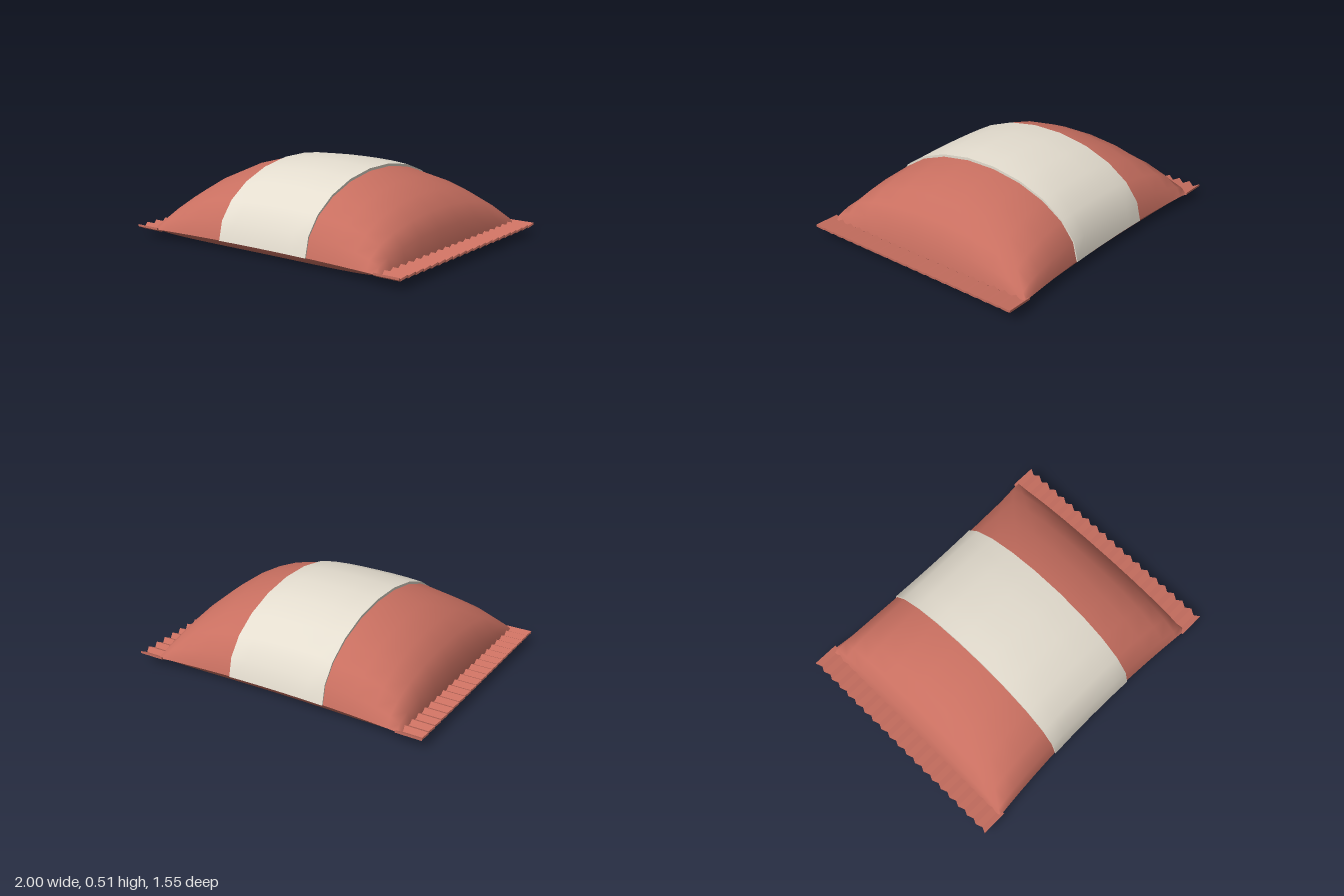
import * as THREE from 'three';

const SEAM = 0.06;      // height of the seam around the bag
const HALF_X = 0.86;    // half length of the filled body
const RISE = 0.435;     // dome height above the seam
const BAND_X = 0.333;   // half width of the label band
const BAND_LIFT = 0.015;

// Fullness of the cushion along x, from 1 in the middle to 0 at the seal
const fullness = (x) => Math.pow(Math.max(0, 1 - Math.pow(Math.abs(x / HALF_X), 2.5)), 0.45);
// Half depth, pinched in at the middle
const halfDepth = (x) => 0.725 + 0.045 * (x / HALF_X) ** 2;

// Point on the upper skin at length x and angle a (-90 to 90 degrees) across z
function skin(x, a, lift = 0) {
  return [
    x,
    SEAM + RISE * fullness(x) * Math.cos(a) + lift * Math.cos(a),
    (halfDepth(x) + lift * 0.5) * Math.sin(a),
  ];
}

// Grid sheet whose corners (s, t in -0.5..0.5) are placed by a rule
function sheet(nx, nz, faceUp, rule) {
  const geo = new THREE.PlaneGeometry(1, 1, nx, nz).rotateX(faceUp ? -Math.PI / 2 : Math.PI / 2);
  const p = geo.attributes.position;
  for (let i = 0; i < p.count; i++) p.setXYZ(i, ...rule(p.getX(i), p.getZ(i)));
  geo.computeVertexNormals();
  return geo;
}

// Corrugated strip along z with a pinked outer edge
function crimpGeometry() {
  const steps = 40, length = 1.555, thick = 0.014;
  const top = [], bottom = [];
  for (let i = 0; i <= steps; i++) {
    const z = (i / steps - 0.5) * length;
    const y = i % 2 ? 0.055 : 0.074;
    top.push(new THREE.Vector2(z, y));
    bottom.unshift(new THREE.Vector2(z, y - thick));
  }
  const geo = new THREE.ExtrudeGeometry(new THREE.Shape([...bottom, ...top]), {
    depth: 0.17, bevelEnabled: false,
  });
  geo.rotateY(-Math.PI / 2).translate(1, 0, 0);
  const p = geo.attributes.position;
  for (let i = 0; i < p.count; i++) {
    const step = Math.round((p.getZ(i) / length + 0.5) * steps);
    if (step % 2 && p.getX(i) > 0.95) p.setX(i, 0.982);
  }
  geo.computeVertexNormals();
  return geo;
}

export function createModel() {
  const group = new THREE.Group();
  const red = new THREE.MeshStandardMaterial({ color: 0xc86f60 });
  red.name = 'wrapperRed';
  const cream = new THREE.MeshStandardMaterial({ color: 0xe4ddcf, side: THREE.DoubleSide });
  cream.name = 'bandCream';

  const add = (name, geo, material) => {
    const mesh = new THREE.Mesh(geo, material);
    mesh.name = name;
    group.add(mesh);
    return mesh;
  };

  // Puffed upper skin
  add('bagTop', sheet(14, 11, true, (s, t) =>
    skin(HALF_X * Math.sin(s * Math.PI), t * Math.PI)), red);

  // Flattened underside
  add('bagBottom', sheet(14, 11, false, (s, t) => {
    const [x, , z] = skin(HALF_X * Math.sin(s * Math.PI), t * Math.PI);
    const sag = Math.min(1, 2.3 * fullness(x) * Math.cos(t * Math.PI));
    return [x, SEAM * (1 - sag), z];
  }), red);

  // Label band wrapped over the top, with its two thin edges
  add('labelBand', sheet(6, 11, true, (s, t) =>
    skin(s * 2 * BAND_X, t * Math.PI, BAND_LIFT)), cream);
  for (const side of [-1, 1]) {
    add(side > 0 ? 'bandEdgeLeft' : 'bandEdgeRight', sheet(1, 11, true, (s, t) =>
      skin(side * BAND_X, t * Math.PI, s * side > 0 ? -0.008 : BAND_LIFT)), cream);
  }

  // Crimped seals at both ends
  const crimp = crimpGeometry();
  add('sealLeft', crimp, red);
  add('sealRight', crimp, red).rotation.y = Math.PI;

  return group;
}
